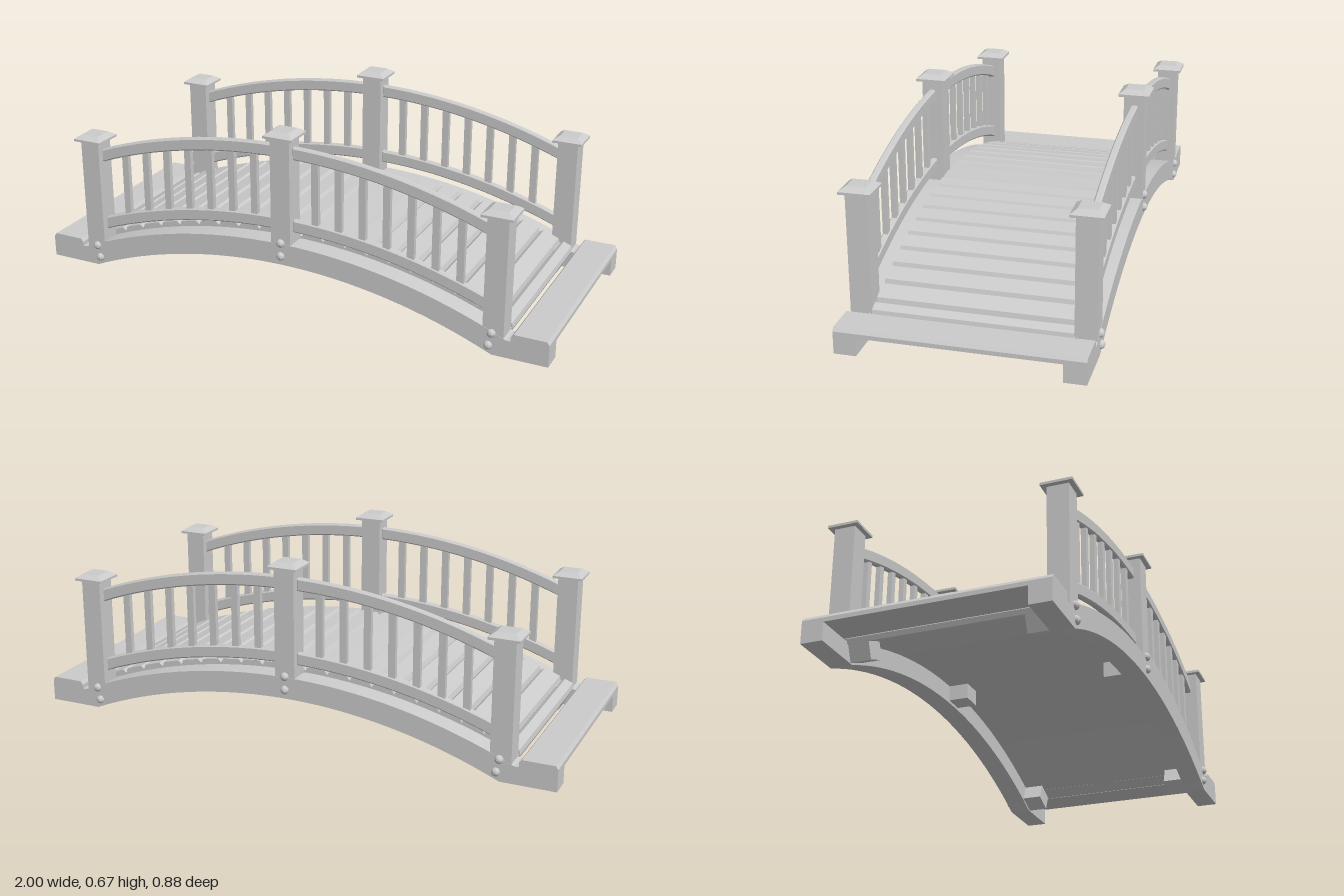
import * as THREE from 'three';

const material = new THREE.MeshStandardMaterial({ color: 0xcccccc, flatShading: true });
const ARC_Y = -1.833;          // centre height of the arch circle
const SIDE_Z = 0.384;          // centre line of beams, posts and rails

function add(parent, name, geometry, x = 0, y = 0, z = 0, tilt = 0) {
  const mesh = new THREE.Mesh(geometry, material);
  mesh.name = name;
  mesh.position.set(x, y, z);
  mesh.rotation.z = tilt;
  parent.add(mesh);
  return mesh;
}

// Points on a circle of radius r centred at (0, cy), from x0 to x1
function arc(r, cy, x0, x1, n) {
  return Array.from({ length: n + 1 }, (_, i) => {
    const a = THREE.MathUtils.lerp(Math.asin(x0 / r), Math.asin(x1 / r), i / n);
    return new THREE.Vector2(r * Math.sin(a), cy + r * Math.cos(a));
  });
}

// Outline in x/y extruded along z and centred, with an optional chamfer
function slab(points, width, bevel = 0) {
  const geometry = new THREE.ExtrudeGeometry(new THREE.Shape(points), {
    depth: width - 2 * bevel, bevelEnabled: bevel > 0, bevelSize: bevel,
    bevelThickness: bevel, bevelOffset: -bevel, bevelSegments: 1,
  });
  return geometry.translate(0, 0, -width / 2 + bevel);
}

const points = (list) => list.map(([x, y]) => new THREE.Vector2(x, y));

// Plank cross-section with chamfered upper edges, top at y = 0
function plankGeometry(width, thickness, length, chamfer) {
  const h = width / 2;
  return slab(points([
    [-h, -thickness], [h, -thickness], [h, -chamfer * 1.4],
    [h - chamfer, 0], [-h + chamfer, 0], [-h, -chamfer * 1.4],
  ]), length);
}

// Square frustum cap with a short upright lip, base at y = 0
function capGeometry() {
  const geometry = new THREE.LatheGeometry(
    points([[0, 0], [0.056, 0], [0.056, 0.009], [0.034, 0.024], [0, 0.024]])
      .map((p) => new THREE.Vector2(p.x * Math.SQRT2, p.y)), 4);
  return geometry.rotateY(Math.PI / 4);
}

function addPost(parent, x, bottom, top) {
  const post = new THREE.Group();
  post.name = 'post';
  add(post, 'postShaft', new THREE.BoxGeometry(0.076, top - bottom, 0.076), x, (top + bottom) / 2);
  add(post, 'postCap', capGeometry(), x, top);
  parent.add(post);
}

function addRail(parent, name, side, lift) {
  const outer = arc(2.168, ARC_Y + lift, 0.036, 0.768, 14);
  const inner = arc(2.122, ARC_Y + lift, 0.036, 0.768, 14).reverse();
  const rail = slab([...outer, ...inner].reverse(), 0.026, 0.005);
  if (side < 0) rail.rotateY(Math.PI);
  add(parent, name, rail);
}

function createSide(sign) {
  const group = new THREE.Group();
  group.name = 'bridgeSide';

  // Arched beam with flat feet
  const beam = [
    ...points([[1, 0], [1, 0.065]]),
    ...arc(2.08, ARC_Y, 0.85, -0.85, 32),
    ...points([[-1, 0.065], [-1, 0]]),
    ...arc(2, ARC_Y, -0.8, 0.8, 32),
  ];
  add(group, 'archBeam', slab(beam, 0.078));

  // Posts
  addPost(group, 0, 0.22, 0.643);
  for (const s of [-1, 1]) addPost(group, s * 0.802, 0.06, 0.502);

  // Curved rails and balusters
  for (const s of [-1, 1]) {
    addRail(group, 'lowerRail', s, 0);
    addRail(group, 'upperRail', s, 0.274);
    for (let i = 0; i < 7; i++) {
      const x = 0.121 + i * 0.091;
      const y = ARC_Y + Math.sqrt(2.145 ** 2 - x * x);
      add(group, 'baluster', new THREE.BoxGeometry(0.026, 0.274, 0.018), s * x, y + 0.137);
    }
  }

  // Bolts on the outside and support blocks on the inside, at each post
  const bolt = new THREE.SphereGeometry(0.016, 10, 8);
  const boltSpots = [[0, 0.25], [0, 0.2]];
  for (const s of [-1, 1]) boltSpots.push([s * 0.797, 0.081], [s * 0.787, 0.034]);
  for (const [x, y] of boltSpots) add(group, 'bolt', bolt, x, y, sign * 0.038);

  const block = new THREE.BoxGeometry(0.08, 0.08, 0.085);
  for (const s of [-1, 0, 1]) {
    add(group, 'supportBlock', block, s * 0.79, s ? 0.055 : 0.217, -sign * 0.071, -s * 0.4);
  }

  group.position.z = sign * SIDE_Z;
  return group;
}

export function createModel() {
  const model = new THREE.Group();
  model.name = 'archedBridge';

  for (const sign of [-1, 1]) model.add(createSide(sign));

  // Deck planks laid along the arch
  const deck = new THREE.Group();
  deck.name = 'deck';
  const addPlank = (angle, width) => add(deck, 'deckPlank', plankGeometry(width, 0.033, 0.69, 0.011),
    2.101 * Math.sin(angle), ARC_Y + 2.101 * Math.cos(angle), 0, -angle);
  const step = 0.0412;
  for (let k = -9; k <= 9; k++) addPlank(k * step, 0.0865);
  for (const s of [-1, 1]) addPlank(s * 0.405, 0.055);

  // Full-width end planks resting on the feet
  for (const s of [-1, 1]) {
    add(deck, 'endPlank', plankGeometry(0.134, 0.028, 0.846, 0.009), s * 0.933, 0.093);
  }
  model.add(deck);
  return model;
}
